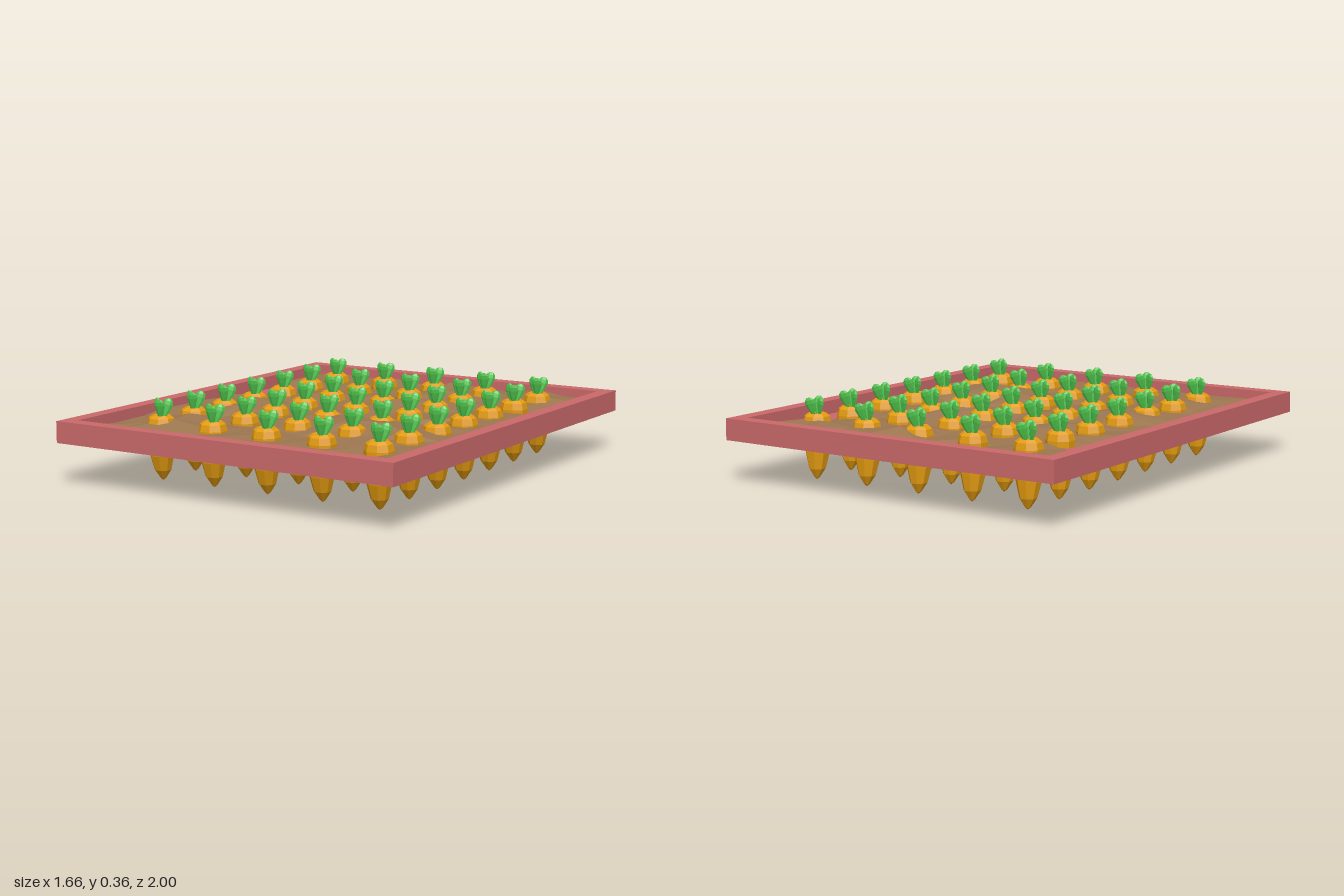
import * as THREE from 'three';

const mat = (color) => new THREE.MeshStandardMaterial({ color, flatShading: true });
const woodMat = mat(0xc96868);
const soilMat = mat(0x9c7650);
const rootMat = mat(0xe39b10);
const leafMat = mat(0x4fc24c);

function makeRandom(seed) {
  return () => {
    seed = (seed * 16807) % 2147483647;
    return seed / 2147483647;
  };
}

function addMesh(parent, name, geometry, material) {
  const mesh = new THREE.Mesh(geometry, material);
  mesh.name = name;
  parent.add(mesh);
  return mesh;
}

const HX = 0.83, HZ = 1, RIM = 0.065, BOTTOM = 0.188, TOP = 0.282, FLOOR = 0.222;

// Rectangular rim with an open middle
function rimGeometry() {
  const rect = (P, x, z) => {
    const p = new P();
    p.moveTo(-x, -z);
    p.lineTo(x, -z);
    p.lineTo(x, z);
    p.lineTo(-x, z);
    p.closePath();
    return p;
  };
  const shape = rect(THREE.Shape, HX, HZ);
  shape.holes.push(rect(THREE.Path, HX - RIM, HZ - RIM));
  return new THREE.ExtrudeGeometry(shape, { depth: TOP - BOTTOM, bevelEnabled: false })
    .rotateX(-Math.PI / 2).translate(0, BOTTOM, 0);
}

// Uneven soil: mounds lift it, hollows sink it below the tray floor. [x, z, radius, height]
const MOUNDS = [
  [0.42, 0.32, 0.22, 0.055], [0.18, 0.28, 0.2, 0.05], [0.1, -0.72, 0.18, 0.05],
  [0.13, -0.24, 0.18, 0.055], [-0.42, 0.12, 0.2, 0.05], [0.5, -0.8, 0.18, 0.035],
  [-0.45, 0.6, 0.2, 0.035], [-0.3, -0.3, 0.18, 0.03],
  [-0.74, -0.48, 0.2, -0.05], [0.75, -0.5, 0.17, -0.045], [0.12, -0.55, 0.09, -0.05],
  [0.39, 0.09, 0.1, -0.05], [0.55, 0.92, 0.16, -0.04], [-0.16, -0.85, 0.09, -0.04],
];

function soilGeometry() {
  const random = makeRandom(77);
  const w = 2 * (HX - RIM), d = 2 * (HZ - RIM), nx = 11, nz = 13;
  const g = new THREE.PlaneGeometry(w, d, nx, nz).rotateX(-Math.PI / 2);
  const p = g.attributes.position;
  for (let i = 0; i < p.count; i++) {
    const col = i % (nx + 1), row = Math.floor(i / (nx + 1));
    const jx = (random() - 0.5) * 0.09, jz = (random() - 0.5) * 0.09;
    const x = p.getX(i) + (col > 0 && col < nx ? jx : 0);
    const z = p.getZ(i) + (row > 0 && row < nz ? jz : 0);
    let y = 0.234 + random() * 0.014;
    for (const [mx, mz, r, h] of MOUNDS) {
      const t = Math.hypot(x - mx, z - mz) / r;
      if (t < 1) y += h * (1 - t * t);
    }
    p.setXYZ(i, x, Math.min(y, 0.3), z);
  }
  g.computeVertexNormals();
  return g;
}

// Eight-sided tapering root with a rounded shoulder and slightly bent tip
function rootGeometry() {
  const profile = [[0, 0.003], [0.012, 0.012], [0.037, 0.05], [0.053, 0.115], [0.062, 0.19],
    [0.063, 0.25], [0.056, 0.278], [0.04, 0.29], [0.026, 0.284], [0, 0.284]];
  const g = new THREE.LatheGeometry(profile.map(([r, y]) => new THREE.Vector2(r, y)), 8, Math.PI / 8);
  const p = g.attributes.position;
  for (let i = 0; i < p.count; i++) {
    const y = p.getY(i), bend = Math.max(0, 1 - y / 0.12);
    p.setX(i, p.getX(i) - 0.004 * bend);
    p.setZ(i, p.getZ(i) - 0.013 * bend);
  }
  return g;
}

// Thick upright leaf: narrow at the base, widest near the rounded top
function leafGeometry() {
  const profile = [[0, 0], [0.007, 0], [0.016, 0.025], [0.023, 0.052], [0.02, 0.068], [0.009, 0.079], [0, 0.08]];
  return new THREE.LatheGeometry(profile.map(([r, y]) => new THREE.Vector2(r, y)), 6, Math.PI / 2)
    .scale(1, 1, 0.4);
}

// Leaf placement: [x, z, turn, lean sideways, lean forwards]
const LEAVES = [
  [-0.014, -0.002, -0.25, 0.2, -0.04],
  [0.008, -0.012, 0.5, -0.17, -0.18],
  [0.006, 0.013, 0.35, -0.06, 0.2],
];

export function createModel() {
  const model = new THREE.Group();
  model.name = 'carrotBed';

  // Tray
  const tray = new THREE.Group();
  tray.name = 'tray';
  model.add(tray);
  addMesh(tray, 'rim', rimGeometry(), woodMat);
  addMesh(tray, 'trayFloor',
    new THREE.BoxGeometry(2 * (HX - RIM), FLOOR - BOTTOM, 2 * (HZ - RIM)), woodMat)
    .position.y = (FLOOR + BOTTOM) / 2;
  addMesh(model, 'soil', soilGeometry(), soilMat);

  // Five columns by seven rows of carrots
  const root = rootGeometry(), leaf = leafGeometry();
  for (let row = 0; row < 7; row++) {
    for (let col = 0; col < 5; col++) {
      const carrot = new THREE.Group();
      carrot.name = 'carrot';
      carrot.position.set(-0.522 + col * 0.273, 0, -0.71 + row * 0.231);
      addMesh(carrot, 'root', root, rootMat);
      for (const [x, z, turn, side, forward] of LEAVES) {
        const m = addMesh(carrot, 'leaf', leaf, leafMat);
        m.position.set(x, 0.282, z);
        m.rotation.set(forward, turn, side);
      }
      model.add(carrot);
    }
  }
  return model;
}
